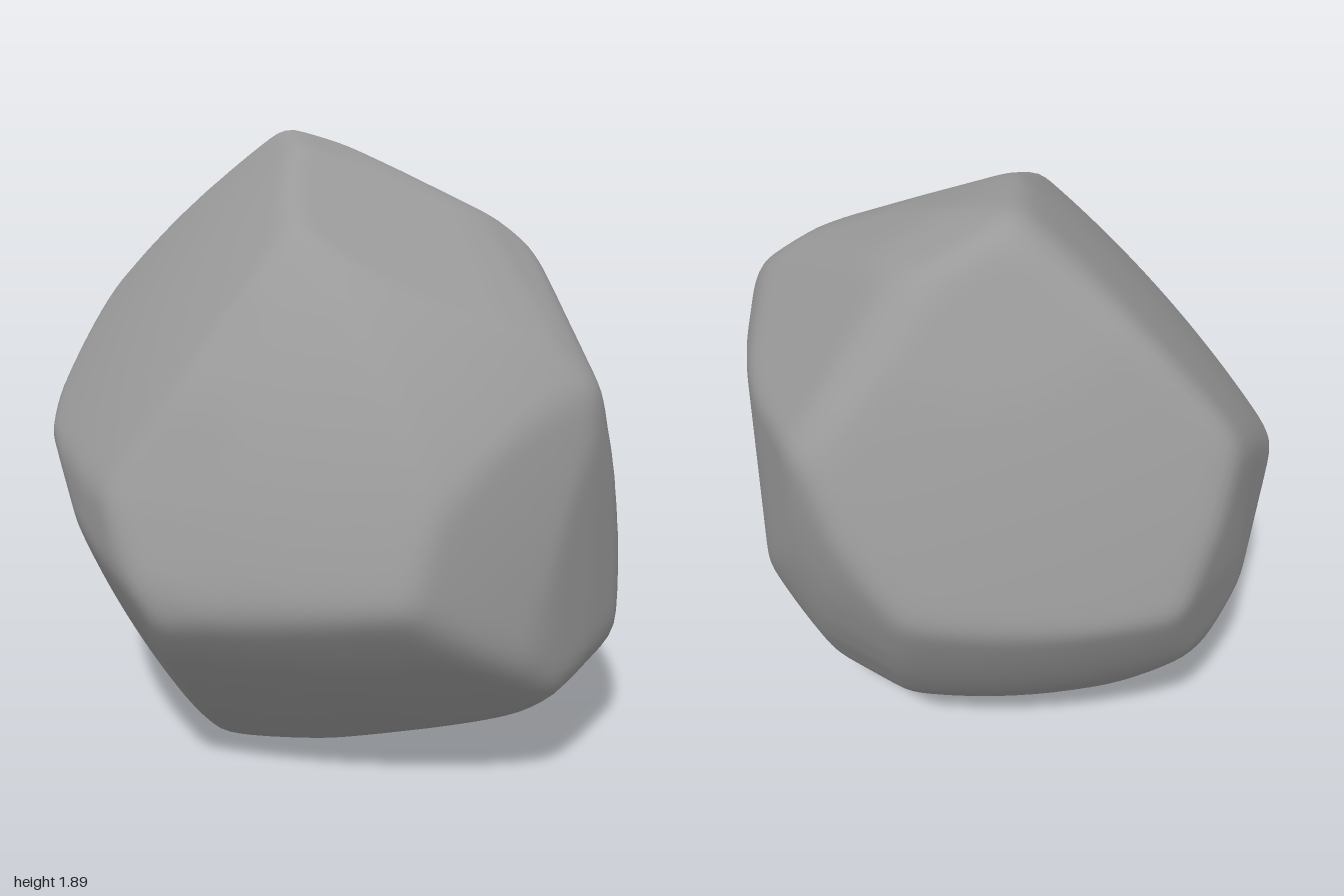
import * as THREE from 'three';
import { mergeVertices } from 'three/addons/utils/BufferGeometryUtils.js';

// Outlines of the boulder as u,v pairs, each cut from one direction
const frontCut = [-0.35, 1.91, -0.43, 1.89, -0.7, 1.66, -0.94, 1.42, -0.98, 1.35, -1, 1.12, -0.96, 0.78, -0.9, 0.5,
  -0.52, 0.15, -0.36, 0.06, -0.14, 0, 0.13, 0.04, 0.38, 0.1, 0.8, 0.21, 0.93, 0.31, 0.99, 0.4, 0.99, 0.46,
  0.955, 1.17, 0.92, 1.2, 0.67, 1.45, 0.44, 1.61, 0.1, 1.77, -0.3, 1.9];
const sideCut = [0.42, 1.91, 0.5, 1.9, 0.6, 1.81, 0.93, 1.4, 0.98, 1.34, 1, 1.17, 0.97, 0.98, 0.88, 0.7, 0.78, 0.5,
  0.63, 0.26, 0.58, 0.23, -0.42, 0, -0.5, 0.03, -0.79, 0.27, -1, 0.56, -1, 0.64, -0.8, 1.12, -0.58, 1.45,
  -0.4, 1.64, -0.2, 1.78, 0, 1.86, 0.17, 1.9];
const topCut = [-0.3, 1, -0.15, 1, -0.08, 0.99, 0.2, 0.83, 0.38, 0.69, 0.6, 0.45, 0.95, 0.12, 0.99, 0.05, 0.95, -0.3,
  0.9, -0.52, 0.8, -0.77, 0.7, -0.86, 0.4, -0.93, 0.13, -0.99, -0.07, -0.99, -0.2, -0.93, -0.4, -0.79,
  -0.75, -0.48, -0.87, -0.29, -0.95, 0.08, -0.99, 0.2, -1, 0.38, -0.96, 0.55, -0.7, 0.77, -0.4, 0.97];
const frontCornerCut = [-0.08, 1.95, 0.07, 1.96, 0.17, 1.91, 0.68, 1.42, 0.73, 1.3, 0.85, 0.24, 0.845, 0.12, 0.48, -0.14,
  0.03, -0.17, -0.34, -0.14, -0.52, -0.05, -0.62, 0.05, -0.67, 0.16, -0.89, 0.86, -0.89, 0.96, -0.84, 1.2,
  -0.76, 1.42, -0.66, 1.58, -0.25, 1.85];
const backCornerCut = [0.19, 1.65, 0.12, 1.64, -0.63, 1.42, -0.68, 1.37, -0.73, 1.3, -0.85, 0.74, -0.845, 0.58, -0.795, 0.4,
  -0.71, 0.24, -0.53, 0.07, -0.28, -0.04, 0.07, -0.05, 0.46, 0.01, 0.71, 0.19, 0.89, 0.79, 0.89, 0.88, 0.72, 1.1];
const underCut = [0.35, 1.78, 0.56, 1.78, 0.61, 1.7, 0.96, 1.1, 1.09, 0.79, 1.09, 0.72, 0.97, 0.48, 0.73, 0.18,
  0.385, -0.03, -0.19, -0.2, -1.05, 0.37, -1.1, 0.46, -1.12, 0.61, -1.1, 0.8, -1.05, 0.99, -0.99, 1.11,
  -0.84, 1.28, -0.12, 1.7];

const center = new THREE.Vector3(0, 0.95, 0);

// Corners where the broad faces meet
const peak = [-0.41, 1.92, -0.43], brow = [0.1, 1.62, 0.42], leftTip = [0.96, 1.18, 0.13];
const nose = [0, 0.59, 1.01], cheek = [0.69, 0.66, 0.85], rightFront = [-0.88, 0.97, 0.34];
const rightTip = [-0.98, 1.39, -0.18], backTop = [-0.09, 1.41, -0.98], backLow = [-0.02, 0.24, -0.67];
const backMid = [-0.4, 0.9, -0.95], rightMid = [-0.97, 0.89, -0.45], foot = [-0.14, -0.01, 0.43];
const leftLow = [0.99, 0.4, -0.13], leftHip = [0.99, 0.43, 0.32], leftFoot = [0.82, 0.2, 0.38];

// Cutting planes tangent to an outline seen from an azimuth and elevation
function outlinePlanes(outline, azimuth, elevation) {
  const a = THREE.MathUtils.degToRad(azimuth), e = THREE.MathUtils.degToRad(elevation);
  const U = new THREE.Vector3(Math.cos(a), 0, -Math.sin(a));
  const V = new THREE.Vector3(-Math.sin(e) * Math.sin(a), Math.cos(e), -Math.sin(e) * Math.cos(a));
  const planes = [];
  for (let i = 0; i < 72; i++) {
    const c = Math.cos(i * Math.PI / 36), s = Math.sin(i * Math.PI / 36);
    let reach = -Infinity;
    for (let k = 0; k < outline.length; k += 2) reach = Math.max(reach, outline[k] * c + outline[k + 1] * s);
    const n = U.clone().multiplyScalar(c).addScaledVector(V, s);
    planes.push({ n, d: reach - n.dot(center) });
  }
  return planes;
}

// Gently domed face: a large sphere through three corners, relative to the center
function dome(radius, ...corners) {
  const [p, q, r] = corners.map(c => new THREE.Vector3(...c).sub(center));
  const a = p.sub(r), b = q.sub(r), n = a.clone().cross(b);
  const offset = b.clone().multiplyScalar(a.lengthSq()).addScaledVector(a, -b.lengthSq())
    .cross(n).divideScalar(2 * n.lengthSq());
  n.normalize().multiplyScalar(Math.sign(n.dot(r)));
  const o = r.add(offset).addScaledVector(n, -Math.sqrt(radius * radius - offset.lengthSq()));
  return { o, k: radius * radius - o.lengthSq() };
}

// Average each vertex with its neighbours to soften the edges
function soften(geometry, passes) {
  const pos = geometry.attributes.position, idx = geometry.index.array;
  const near = Array.from({ length: pos.count }, () => new Set());
  for (let i = 0; i < idx.length; i += 3) {
    for (let k = 0; k < 3; k++) {
      near[idx[i + k]].add(idx[i + (k + 1) % 3]).add(idx[i + (k + 2) % 3]);
    }
  }
  const p = new THREE.Vector3(), q = new THREE.Vector3();
  for (let pass = 0; pass < passes; pass++) {
    const old = pos.clone();
    near.forEach((set, i) => {
      p.set(0, 0, 0);
      set.forEach(j => p.add(q.fromBufferAttribute(old, j)));
      p.divideScalar(set.size).lerp(q.fromBufferAttribute(old, i), 0.4);
      pos.setXYZ(i, p.x, p.y, p.z);
    });
  }
}

export function createModel() {
  const planes = [
    ...outlinePlanes(frontCut, 0, 0),
    ...outlinePlanes(sideCut, 90, 0),
    ...outlinePlanes(topCut, 0, 90),
    ...outlinePlanes(frontCornerCut, 35, 25),
    ...outlinePlanes(backCornerCut, 215, 25),
    ...outlinePlanes(underCut, 145, -25),
  ];
  const domes = [
    dome(5, peak, rightTip, backTop),       // upper back face
    dome(2.2, backMid, rightMid, backLow),  // lower back face
    dome(2.2, backLow, leftLow, backTop),   // back left face
    dome(1.8, peak, brow, leftTip),         // crown
    dome(2.1, brow, cheek, nose),           // brow face
    dome(4, peak, brow, rightFront),        // upper front shoulder
    dome(2.5, rightFront, nose, foot),      // lower front right face
    dome(2.5, nose, cheek, foot),           // front undercut
    dome(3.5, cheek, leftTip, leftHip),     // left side face
    dome(4, foot, backLow, leftFoot),       // underside
  ];

  // Push a fine sphere out to the nearest cut in every direction
  let geometry = new THREE.IcosahedronGeometry(1, 36);
  geometry.deleteAttribute('normal');
  geometry.deleteAttribute('uv');
  geometry = mergeVertices(geometry, 1e-4);
  const pos = geometry.attributes.position, dir = new THREE.Vector3();
  for (let i = 0; i < pos.count; i++) {
    dir.fromBufferAttribute(pos, i).normalize();
    let r = Infinity;
    for (const { n, d } of planes) {
      const t = n.dot(dir);
      if (t > 1e-4) r = Math.min(r, d / t);
    }
    for (const { o, k } of domes) {
      const t = o.dot(dir);
      r = Math.min(r, t + Math.sqrt(t * t + k));
    }
    dir.multiplyScalar(r).add(center);
    pos.setXYZ(i, dir.x, dir.y, dir.z);
  }
  soften(geometry, 3);

  // Rest it on the ground
  geometry.computeBoundingBox();
  geometry.translate(0, -geometry.boundingBox.min.y, 0);
  geometry.computeVertexNormals();

  const boulder = new THREE.Mesh(geometry, new THREE.MeshStandardMaterial({ color: 0x9a9a9a }));
  boulder.name = 'boulder';
  const group = new THREE.Group();
  group.name = 'rock';
  group.add(boulder);
  return group;
}
